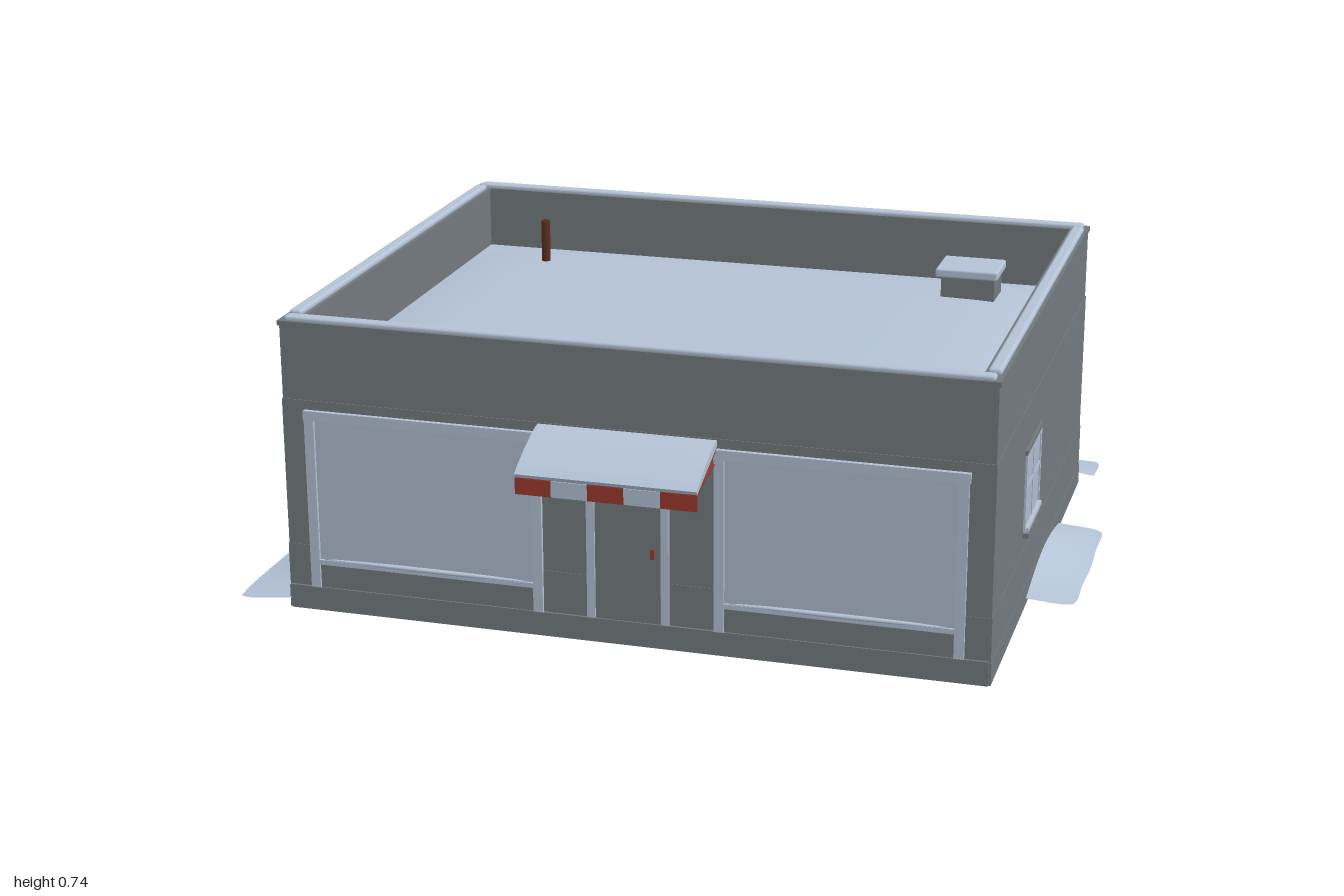
import * as THREE from 'three';
import { RoundedBoxGeometry } from 'three/addons/geometries/RoundedBoxGeometry.js';

const mat = (name, color, side = THREE.FrontSide) => {
  const m = new THREE.MeshStandardMaterial({ color, side });
  m.name = name;
  return m;
};

export function createModel() {
  const wall = mat('grey wall', 0x72797d);
  const snow = mat('snow', 0xb4c3d6, THREE.DoubleSide);
  const glass = mat('glass', 0xadbccd);
  const trim = mat('pale trim', 0xb2c1d4);
  const red = mat('awning red', 0x98382c);
  const rust = mat('rusty brown', 0x5a3020);
  const earth = mat('dark brown floor', 0x5e4736);

  const model = new THREE.Group();
  model.name = 'shop';
  const X0 = -0.85, X1 = 0.87, Z = 0.69, CX = (X0 + X1) / 2, W = X1 - X0;

  const add = (name, geo, material, parent = model) => {
    const m = new THREE.Mesh(geo, material);
    m.name = name;
    parent.add(m);
    return m;
  };
  // Box given by its two extreme corners
  const box = (name, material, x0, x1, y0, y1, z0, z1, parent = model) => {
    const m = add(name, new THREE.BoxGeometry(x1 - x0, y1 - y0, z1 - z0), material, parent);
    m.position.set((x0 + x1) / 2, (y0 + y1) / 2, (z0 + z1) / 2);
    return m;
  };
  const rect = (C, a, b, c, d) => {
    const s = new C();
    s.moveTo(a, c).lineTo(b, c).lineTo(b, d).lineTo(a, d).closePath();
    return s;
  };
  // Rectangular ring of walls, standing from y0 to y1
  const ring = (name, grow, thick, y0, y1) => {
    const a = X0 - grow, b = X1 + grow, d = Z + grow;
    const s = rect(THREE.Shape, a, b, -d, d);
    s.holes.push(rect(THREE.Path, a + thick, b - thick, -d + thick, d - thick));
    const g = new THREE.ExtrudeGeometry(s, { depth: y1 - y0, bevelEnabled: false });
    g.rotateX(-Math.PI / 2);
    add(name, g, wall).position.y = y0;
  };
  ring('parapetWalls', 0, 0.04, 0.53, 0.72);
  ring('walls', 0.002, 0.012, 0, 0.535);
  ring('lowerBand', 0.0035, 0.012, 0, 0.165);
  ring('plinth', 0.005, 0.012, 0, 0.055);
  ring('coping', 0.004, 0.048, 0.717, 0.729);

  // Raised floor, open underneath, with snow blown in behind the left-hand wall
  box('floor', earth, X0 + 0.008, X1 - 0.008, 0.07, 0.09, -Z + 0.008, Z - 0.008);
  box('innerSnow', snow, X0 + 0.009, X0 + 0.014, 0.015, 0.07, -0.64, 0.64);
  for (const z of [-0.3, 0, 0.3])
    box('floorSupport', wall, X0 + 0.009, X0 + 0.03, 0.01, 0.07, z - 0.015, z + 0.015);

  // Snow lying along the parapet
  for (const s of [-1, 1]) {
    const across = add('parapetSnow', new RoundedBoxGeometry(W - 0.02, 0.016, 0.032, 2, 0.007), snow);
    across.position.set(CX, 0.732, s * (Z - 0.02));
    const along = add('parapetSnow', new RoundedBoxGeometry(0.032, 0.018, 2 * Z - 0.1, 2, 0.008), snow);
    along.position.set(CX + s * (W / 2 - 0.02), 0.733, 0);
  }

  // Gently domed roof snow
  const roof = new THREE.PlaneGeometry(W - 0.08, 2 * Z - 0.08, 24, 20);
  roof.rotateX(-Math.PI / 2);
  const rp = roof.attributes.position;
  for (let i = 0; i < rp.count; i++) {
    const u = rp.getX(i) / (W / 2 - 0.04), v = rp.getZ(i) / (Z - 0.04);
    rp.setY(i, 0.565 + 0.025 * (1 - u ** 8) * (1 - v ** 8));
  }
  roof.computeVertexNormals();
  add('roofSnow', roof, snow).position.x = CX;

  // Vent and pipe on the roof
  box('ventBody', wall, 0.53, 0.67, 0.55, 0.645, -0.515, -0.4);
  const ventCap = add('ventSnow', new RoundedBoxGeometry(0.164, 0.024, 0.138, 2, 0.006), snow);
  ventCap.position.set(0.598, 0.655, -0.457);
  add('roofPipe', new THREE.CylinderGeometry(0.012, 0.012, 0.14, 12), rust).position.set(-0.58, 0.63, -0.46);

  // Small four-pane window, built facing +z around its own centre
  const smallWindow = (x, z, turn) => {
    const g = new THREE.Group();
    g.name = 'sideWindow';
    box('pane', glass, -0.1, 0.1, -0.1, 0.1, -0.004, 0.001, g);
    for (const s of [-1, 1]) {
      box('frameSide', trim, s * 0.104 - 0.006, s * 0.104 + 0.006, -0.1, 0.1, -0.004, 0.004, g);
      box('frameRail', trim, -0.11, 0.11, s * 0.095 - 0.005, s * 0.095 + 0.005, -0.004, 0.004, g);
    }
    box('mullion', trim, -0.005, 0.005, -0.09, 0.09, -0.004, 0.003, g);
    box('crossbar', trim, -0.1, 0.1, 0.005, 0.015, -0.004, 0.003, g);
    box('lintel', wall, -0.115, 0.115, 0.1, 0.112, -0.004, 0.005, g);
    box('sill', wall, -0.112, 0.112, -0.112, -0.1, -0.004, 0.014, g);
    box('sillSnow', snow, -0.1, 0.1, -0.1, -0.09, -0.004, 0.011, g);
    g.position.set(x, 0.315, z);
    g.rotation.y = turn;
    model.add(g);
  };
  smallWindow(X1 + 0.003, 0.165, Math.PI / 2);
  smallWindow(X0 - 0.003, 0.165, -Math.PI / 2);
  smallWindow(-0.33, -Z - 0.003, Math.PI);

  // Shop front: two display windows, posts and header
  box('frontPlinth', wall, X0, X1, 0, 0.06, Z - 0.01, Z + 0.01);
  for (const [a, b] of [[-0.77, -0.222], [0.242, 0.79]]) {
    box('displayGlass', glass, a, b, 0.13, 0.49, Z - 0.004, Z + 0.004);
    box('stallRiser', wall, a, b, 0.06, 0.12, Z - 0.004, Z + 0.006);
    box('displaySill', trim, a, b, 0.12, 0.132, Z - 0.004, Z + 0.011);
    const pile = add('displaySillSnow', new THREE.SphereGeometry(1, 20, 8), snow);
    pile.scale.set((b - a) / 2 - 0.01, 0.006, 0.007);
    pile.position.set((a + b) / 2, 0.132, Z + 0.006);
    box('displayHeader', trim, a - 0.025, b + 0.025, 0.488, 0.512, Z - 0.004, Z + 0.014);
  }
  for (const x of [-0.782, -0.212, 0.232, 0.8])
    box('frontPost', trim, x - 0.012, x + 0.012, 0.06, 0.49, Z - 0.004, Z + 0.012);

  // Front door
  box('frontDoor', wall, -0.07, 0.09, 0.03, 0.42, Z - 0.004, Z + 0.006);
  for (const x of [-0.081, 0.101])
    box('doorJamb', trim, x - 0.01, x + 0.01, 0.06, 0.43, Z - 0.004, Z + 0.008);
  box('doorHandle', red, 0.067, 0.076, 0.225, 0.25, Z, Z + 0.012);

  // Back door, with one broad pale jamb
  box('backDoor', wall, 0.625, 0.745, 0.06, 0.42, -Z - 0.006, -Z + 0.004);
  box('backDoorJamb', wall, 0.745, 0.765, 0.06, 0.43, -Z - 0.01, -Z + 0.004);
  box('backDoorJamb', trim, 0.595, 0.622, 0.06, 0.43, -Z - 0.01, -Z + 0.004);
  box('backDoorHeader', trim, 0.59, 0.77, 0.42, 0.434, -Z - 0.012, -Z + 0.004);
  box('backDoorHandle', red, 0.638, 0.645, 0.225, 0.25, -Z - 0.012, -Z);

  // Awning: a side profile (z, y) swept across the doorway
  const sweep = (name, pts, xLeft, xRight, material) => {
    const s = new THREE.Shape(pts.map(p => new THREE.Vector2(...p)));
    const g = new THREE.ExtrudeGeometry(s, { depth: xRight - xLeft, bevelEnabled: false });
    g.rotateY(-Math.PI / 2);
    add(name, g, material).position.x = xRight;
  };
  sweep('awningSnow', [[0.69, 0.517], [0.856, 0.457], [0.861, 0.466], [0.84, 0.479],
    [0.79, 0.503], [0.74, 0.522], [0.71, 0.53], [0.69, 0.532]], -0.207, 0.225, snow);
  for (let i = 0; i < 5; i++) {
    const x = -0.207 + i * 0.0864, m = i % 2 ? trim : red;
    sweep('awningStripe', [[0.69, 0.511], [0.856, 0.451], [0.856, 0.457], [0.69, 0.517]], x, x + 0.0864, m);
    box('valanceStripe', m, x, x + 0.0864, 0.417, 0.456, 0.852, 0.858);
  }
  for (const x of [-0.203, 0.217])
    sweep('awningBracket', [[0.69, 0.474], [0.856, 0.452], [0.856, 0.457], [0.69, 0.479]], x, x + 0.005, red);

  // Snow drift: length along the wall, falling away from it; built facing +z
  const drift = (length, depth, height, x, z, turn) => {
    const g = new THREE.PlaneGeometry(1, 1, 32, 10);
    const p = g.attributes.position;
    for (let i = 0; i < p.count; i++) {
      const u = p.getX(i) * 2, v = 0.5 - p.getY(i);
      const rise = 0.2 + 0.8 * Math.cos(u * Math.PI / 2);
      const inset = 1 - 0.06 * v * v * Math.abs(u) ** 12 - 0.015 * (1 - Math.cos(u * 6)) * v;
      const taper = 1 - 0.03 * v ** 8 / length;
      p.setXYZ(i, u * length / 2 * taper, 0.008 + height * rise * (1 - v) ** 1.15, v * depth * inset);
    }
    g.computeVertexNormals();
    const m = add('snowDrift', g, snow);
    m.position.set(x, 0, z);
    m.rotation.y = turn;
  };
  drift(1.82, 0.172, 0.085, 0.007, -Z + 0.002, Math.PI);
  drift(1.41, 0.152, 0.08, X0 + 0.002, -0.005, -Math.PI / 2);
  drift(0.53, 0.13, 0.042, X1 - 0.002, -0.065, Math.PI / 2);

  return model;
}
